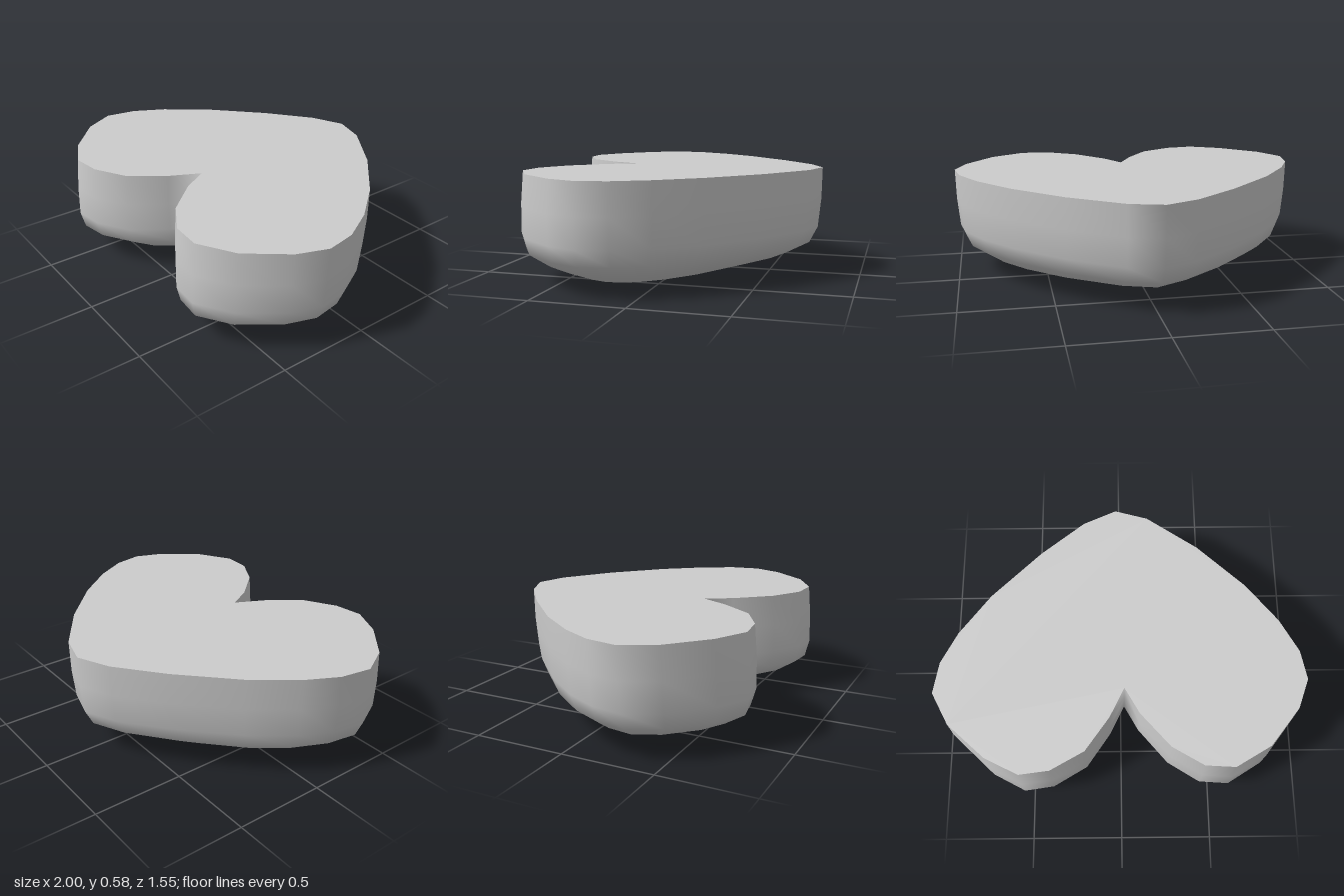
import * as THREE from 'three';

// Heart outline as x, z pairs, from the back tip round the left lobe to the right
const outline = [
  [-0.02, -0.78], [0.16, -0.73], [0.44, -0.54], [0.70, -0.30], [0.87, -0.09], [0.97, 0.09], [1.0, 0.25],
  [0.94, 0.41], [0.78, 0.61], [0.59, 0.72], [0.43, 0.71], [0.26, 0.61], [0.10, 0.43], [0.02, 0.29],
  [-0.06, 0.45], [-0.19, 0.63], [-0.37, 0.73], [-0.53, 0.75], [-0.71, 0.66], [-0.91, 0.48], [-1.0, 0.31],
  [-0.97, 0.14], [-0.88, -0.03], [-0.71, -0.25], [-0.44, -0.51], [-0.20, -0.70],
];
const HEIGHT = 0.59;

// Cross-sections going down: height, inset towards the spine, forward bulge of the lobes
const levels = [
  [HEIGHT, 0, 0], [0.42, 0.005, 0.02], [0.26, 0.03, 0.04], [0.17, 0.1, 0.06],
  [0.10, 0.3, 0.07], [0.045, 0.55, 0.06], [0.015, 0.8, 0.03], [0.005, 1, 0],
];

// Moves an outline point inward towards a V-shaped spine running into both lobes
function sectionPoint([x, z], [y, inset, bulge]) {
  const side = THREE.MathUtils.clamp(x / 0.5, -1, 1);
  const spineX = 0.45 * side;
  const spineZ = -0.15 + 0.3 * Math.abs(side);
  const groove = 0.035 * inset * inset * (1 - Math.abs(side));
  return [
    x + (spineX - x) * inset,
    y + groove,
    z + (spineZ - z) * inset + bulge * THREE.MathUtils.clamp(z / 0.75, 0, 1),
  ];
}

// Smooth wall and rounded underside, lofted through the cross-sections
function bodyGeometry() {
  const n = outline.length;
  const positions = levels.flatMap((level) => outline.flatMap((p) => sectionPoint(p, level)));
  const indices = [];
  for (let r = 0; r < levels.length - 1; r++) {
    for (let i = 0; i < n; i++) {
      const a = r * n + i;
      const b = r * n + ((i + 1) % n);
      indices.push(a, b, a + n, b, b + n, a + n);
    }
  }
  const geometry = new THREE.BufferGeometry();
  geometry.setAttribute('position', new THREE.Float32BufferAttribute(positions, 3));
  geometry.setIndex(indices);
  geometry.computeVertexNormals();
  return geometry;
}

export function createModel() {
  const group = new THREE.Group();
  group.name = 'heart';
  const grey = new THREE.MeshStandardMaterial({ color: 0xcccccc });
  grey.name = 'light grey';

  const body = new THREE.Mesh(bodyGeometry(), grey);
  body.name = 'body';

  // Flat top with a sharp rim
  const shape = new THREE.Shape(outline.map(([x, z]) => new THREE.Vector2(x, -z)));
  const top = new THREE.Mesh(new THREE.ShapeGeometry(shape).rotateX(-Math.PI / 2), grey);
  top.position.y = HEIGHT;
  top.name = 'flatTop';

  group.add(body, top);
  return group;
}
